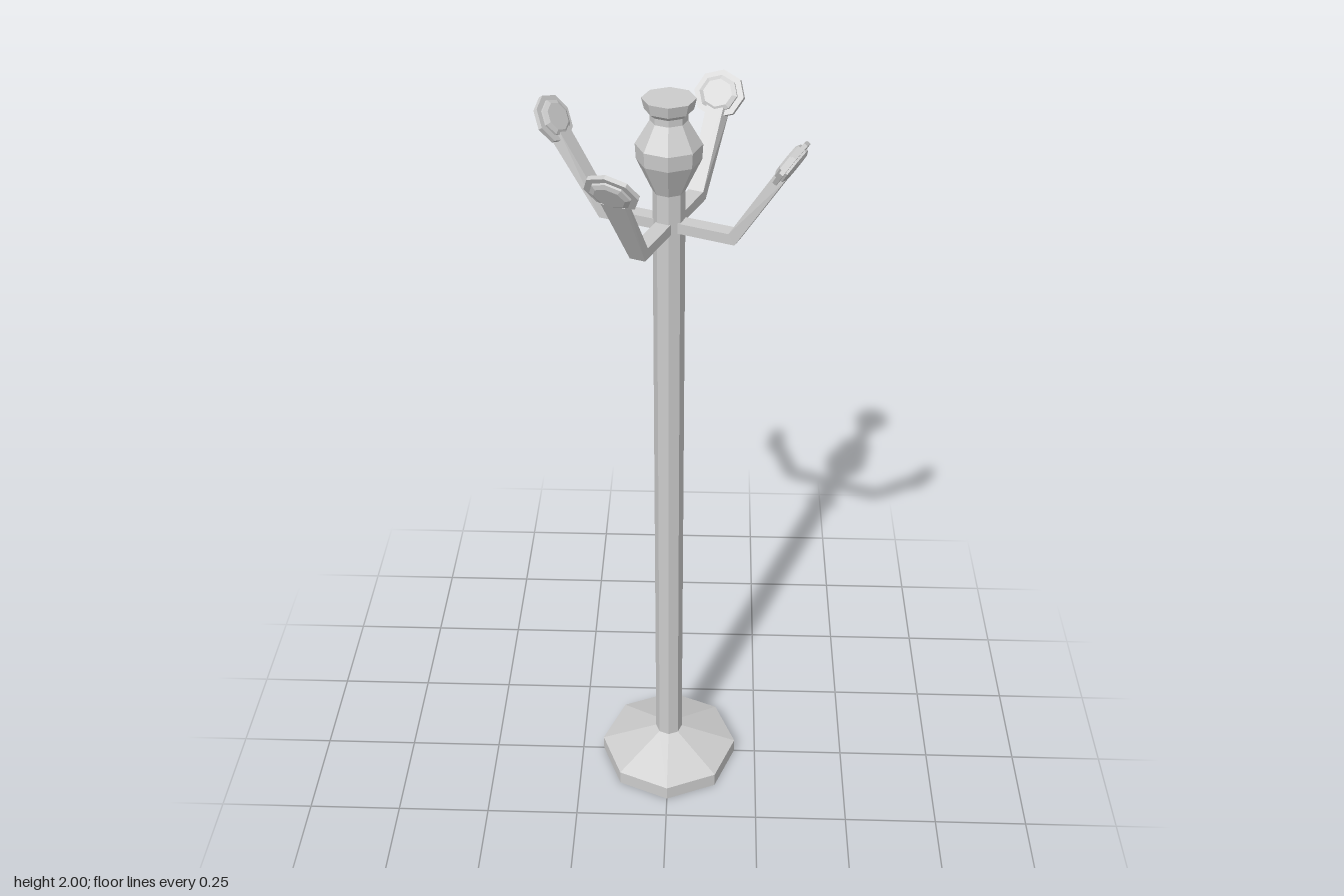
import * as THREE from 'three';

const material = new THREE.MeshStandardMaterial({ color: 0xcccccc, flatShading: true });

function turned(name, profile) {
  const points = profile.map(([r, y]) => new THREE.Vector2(r, y));
  const mesh = new THREE.Mesh(new THREE.LatheGeometry(points, 8), material);
  mesh.name = name;
  return mesh;
}

// Four-cornered tube through sections [inner r, inner y, outer r, outer y, inner width, outer width]
function barGeometry(sections) {
  const pos = [], index = [];
  for (const [ri, yi, ro, yo, wi, wo] of sections) {
    pos.push(ri, yi, wi / 2, ri, yi, -wi / 2, ro, yo, -wo / 2, ro, yo, wo / 2);
  }
  for (let s = 0; s < sections.length - 1; s++) {
    for (let k = 0; k < 4; k++) {
      const a = s * 4 + k, b = s * 4 + (k + 1) % 4;
      index.push(a, a + 4, b, b, a + 4, b + 4);
    }
  }
  const e = (sections.length - 1) * 4;
  index.push(0, 1, 2, 0, 2, 3, e, e + 2, e + 1, e, e + 3, e + 2);
  const g = new THREE.BufferGeometry();
  g.setAttribute('position', new THREE.Float32BufferAttribute(pos, 3));
  g.setIndex(index);
  g.computeVertexNormals();
  return g;
}

export function createModel() {
  const model = new THREE.Group();
  model.name = 'coatStand';

  // Foot, post and finial
  model.add(turned('base', [[0, 0], [0.19, 0], [0.19, 0.042], [0.037, 0.1], [0, 0.1]]));
  model.add(turned('post', [[0, 0.08], [0.037, 0.08], [0.037, 1.79], [0, 1.79]]));
  model.add(turned('finial', [
    [0, 1.785], [0.037, 1.785], [0.073, 1.86], [0.075, 1.895], [0.042, 1.95],
    [0.042, 1.965], [0.054, 1.975], [0.06, 2], [0, 2],
  ]));

  // Four bent arms, each ending in a stepped disc
  const armGeometry = barGeometry([
    [0.02, 1.717, 0.02, 1.692, 0.037, 0.037],
    [0.152, 1.717, 0.167, 1.692, 0.037, 0.037],
    [0.258, 1.885, 0.28, 1.871, 0.042, 0.056],
  ]);
  const knobProfile = [
    [0, -0.015], [0.036, -0.015], [0.047, -0.01], [0.047, -0.005], [0.062, -0.005],
    [0.062, 0.005], [0.047, 0.005], [0.047, 0.01], [0.036, 0.015], [0, 0.015],
  ];
  for (let i = 0; i < 4; i++) {
    const hook = new THREE.Group();
    hook.name = 'hook' + (i + 1);
    const arm = new THREE.Mesh(armGeometry, material);
    arm.name = 'arm';
    const knob = turned('knob', knobProfile);
    knob.position.set(0.284, 1.903, 0);
    // The disc lies in line with the leaning arm
    knob.rotation.z = -Math.PI / 2 - 0.56;
    knob.scale.x = 0.9;
    hook.add(arm, knob);
    hook.rotation.y = -Math.PI / 8 + i * Math.PI / 2;
    model.add(hook);
  }
  return model;
}
